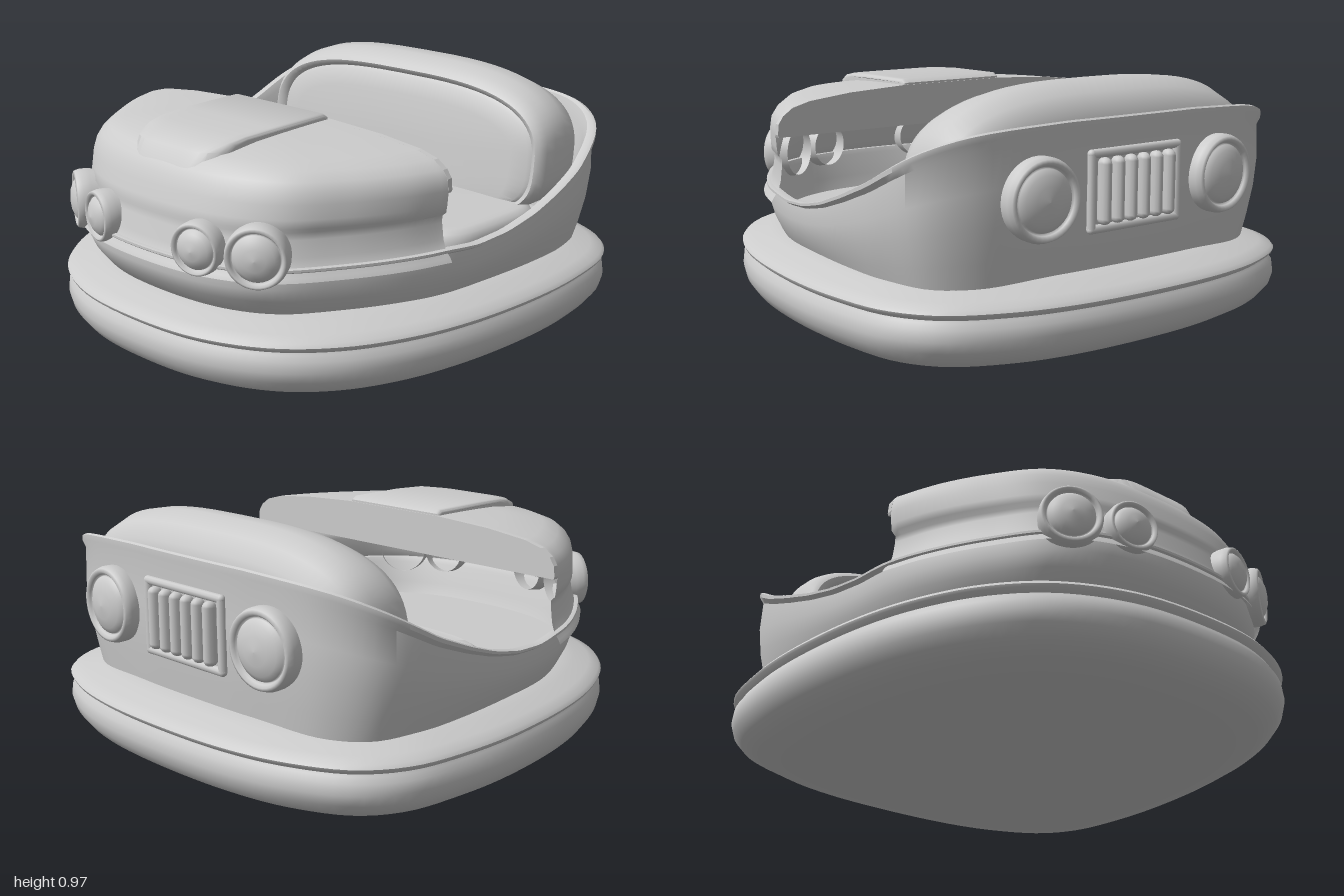
import * as THREE from 'three';
import { toCreasedNormals } from 'three/addons/utils/BufferGeometryUtils.js';

const material = new THREE.MeshStandardMaterial({ color: 0xcccccc, side: THREE.DoubleSide });

function add(parent, name, geometry) {
  const mesh = new THREE.Mesh(geometry, material);
  mesh.name = name;
  parent.add(mesh);
  return mesh;
}

// Skin a list of equally long rings of [x, y, z] points
function loft(rings, closed = true, crease = 0.7) {
  const n = rings[0].length, index = [];
  for (let j = 0; j < rings.length - 1; j++) {
    for (let i = 0; i < (closed ? n : n - 1); i++) {
      const k = (i + 1) % n, a = j * n + i, b = j * n + k;
      index.push(a, b, b + n, a, b + n, a + n);
    }
  }
  const g = new THREE.BufferGeometry();
  g.setAttribute('position', new THREE.Float32BufferAttribute(rings.flat(2), 3));
  g.setIndex(index);
  return toCreasedNormals(g, crease);
}

// Smooth plan outline mirrored from its +x half, which runs front to back
function mirroredOutline(half, count) {
  const left = half.slice(1, -1).reverse().map(([x, z]) => [-x, z]);
  const pts = [...half, ...left].map(([x, z]) => new THREE.Vector3(x, 0, z));
  return new THREE.CatmullRomCurve3(pts, true).getSpacedPoints(count).slice(0, -1);
}

// Piecewise linear lookup in [[key, value], ...] with rising keys
function lookup(table, k) {
  if (k <= table[0][0]) return table[0][1];
  for (let i = 1; i < table.length; i++) {
    const [k0, v0] = table[i - 1], [k1, v1] = table[i];
    if (k <= k1) return v0 + (v1 - v0) * (k - k0) / (k1 - k0);
  }
  return table[table.length - 1][1];
}

function superellipse(w, d, power, count = 72) {
  const f = v => Math.sign(v) * Math.abs(v) ** (2 / power);
  return Array.from({ length: count }, (_, i) => {
    const a = i / count * Math.PI * 2;
    return [w * f(Math.cos(a)), d * f(Math.sin(a))];
  });
}

// Round lamp with a raised rim and a shallow domed lens
function lamp(parent, name, r, x, y, z, yaw) {
  const profile = [[.9, -.09], [1, -.03], [1, 0], [.95, .02], [.87, .025], [.8, .015], [.77, 0],
    [.74, .012], [.6, .025], [.35, .037], [0, .042]].map(([s, h]) => new THREE.Vector2(s * r, h));
  const g = new THREE.LatheGeometry(profile, 40);
  g.rotateX(Math.PI / 2);
  const mesh = add(parent, name, g);
  mesh.position.set(x, y, z);
  mesh.rotation.y = yaw;
}

export function createModel() {
  const car = new THREE.Group();
  car.name = 'bumperCar';

  // Rubber bumper with a dished underside and a thin overhanging upper lip
  const bumperPlan = mirroredOutline([[0, .99], [.3, .96], [.55, .85], [.72, .68], [.84, .45], [.91, .2],
    [.95, -.15], [.945, -.4], [.9, -.65], [.79, -.81], [.58, -.92], [.35, -.975], [0, -.995]], 128);
  const bumperRows = [[0, 0], [.5, .015], [.8, .04], [.9, .065], [.96, .1], [.99, .14], [1, .18], [.995, .22],
    [.982, .24], [.978, .248], [.996, .262], [1, .272], [.99, .285], [.95, .3], [.89, .32], [.84, .333], [.78, .335]];
  add(car, 'bumper', loft(bumperRows.map(([s, y]) => bumperPlan.map(p => [p.x * s, y, p.z * s]))));

  // Body tub: outer wall, rolled rim rising to the rear, inner wall and floor
  const front = [[0, .94], [.3, .905], [.5, .8], [.65, .6], [.755, .4], [.81, .24]];
  const tubPlan = mirroredOutline([...front, [.845, 0], [.87, -.3], [.86, -.53], [.8, -.71],
    [.66, -.81], [.35, -.855], [0, -.865]], 160);
  const rim = [[-.86, .86], [-.8, .83], [-.7, .775], [-.5, .665], [-.35, .605], [-.2, .555], [-.05, .522], [.1, .51], [.24, .52]];
  // Columns: width scale, front scale, rear scale, share of the rim height
  const tubRows = [[.92, .87, .95], [.95, .915, .965, .2], [.975, .955, .98, .42], [.99, .98, .985, .65],
    [.985, .975, .98, .9], [1.005, .99, .985, .95], [1.005, .99, .985, .99], [.99, .98, .975, 1],
    [.965, .96, .965, .99], [.95, .95, .95, .9], [.93, .93, .93, .5]];
  const tubRings = tubRows.map(([sx, sf, sr, f = 0]) => tubPlan.map(p =>
    [p.x * sx, .3 + f * (lookup(rim, p.z) - .3), p.z * (p.z > 0 ? sf : sr)]));
  for (const s of [.91, 0]) tubRings.push(tubPlan.map(p => [p.x * s, .36, p.z * s]));
  add(car, 'bodyTub', loft(tubRings));

  // Hood: flange, recessed band, then an overhanging domed cover
  const z0 = .24;
  const arc = [...front.slice(1).reverse().map(([x, z]) => [-x, z]), ...front];
  const hoodPlan = new THREE.CatmullRomCurve3(arc.map(([x, z]) => new THREE.Vector3(x, 0, z))).getSpacedPoints(80);
  const hoodRows = [[1.02, 1, .475], [1.01, .99, .49], [.985, .965, .515], [.97, .95, .55], [.96, .93, .61],
    [.96, .92, .635], [.98, .925, .65], [.985, .91, .68], [.99, .89, .73], [.985, .865, .77], [.96, .84, .8],
    [.91, .8, .828], [.82, .74, .848], [.6, .55, .868], [.3, .3, .88], [0, 0, .883]];
  add(car, 'hood', loft(hoodRows.map(([sx, sz, y]) =>
    hoodPlan.map(p => [p.x * sx, y, z0 + (p.z - z0) * sz])), false, .8));

  // Cowl panel hanging below the rear edge of the hood
  const cowlHalf = hoodRows.slice(7, -1).map(([sx, , y]) => [sx * .81, Math.max(y, .72)]);
  const cowl = new THREE.Shape([...cowlHalf, ...cowlHalf.slice().reverse().map(([x, y]) => [-x, y])]
    .map(([x, y]) => new THREE.Vector2(x, y)));
  add(car, 'cowl', new THREE.ExtrudeGeometry(cowl, { depth: .022, bevelEnabled: false })).position.z = .22;

  // Raised centre panel on the hood, rounded off at its front corners
  const side = new THREE.Shape([[.238, .84], [.238, .88], [.25, .888], [.5, .886], [.65, .88], [.73, .868],
    [.785, .845], [.81, .8], [.78, .77]].map(([z, y]) => new THREE.Vector2(-z, y)));
  const scoop = new THREE.ExtrudeGeometry(side, { depth: .44, steps: 16, bevelSize: .014, bevelThickness: .018, bevelSegments: 4 });
  scoop.translate(0, 0, -.22);
  scoop.rotateY(Math.PI / 2);
  const sp = scoop.attributes.position;
  for (let i = 0; i < sp.count; i++) {
    const x = sp.getX(i), z = sp.getZ(i), t = Math.max(0, (z - .5) / .32);
    sp.setX(i, x * (1 - .08 * t));
    sp.setZ(i, z - .09 * t * t * Math.min(1, Math.abs(x) / .238) ** 6);
  }
  add(car, 'hoodPanel', toCreasedNormals(scoop, .7));

  // Seat cushion, slightly narrower at the front
  const cushionRows = [[.98, .34], [1, .4], [1, .44], [.98, .465], [.94, .478], [.88, .475], [.6, .485], [0, .48]];
  const cushionPlan = superellipse(.7, .325, 5);
  add(car, 'seatCushion', loft(cushionRows.map(([s, y]) => cushionPlan.map(([x, d]) =>
    [x * s * (1 + .08 * d), y, -.24 - d * s]))));

  // Seat back: reclined padded arch with a recessed front panel, rows run back to front
  const backRows = [[-.8, .72, .5], [-.8, .8, .62], [-.785, .87, .68], [-.73, .93, .71], [-.65, .968, .72],
    [-.58, .965, .72], [-.53, .95, .715], [-.495, .932, .705], [-.482, .915, .69], [-.49, .9, .672],
    [-.51, .89, .66], [-.5, .875, .645], [-.49, .81, .57], [-.485, .68, .2]];
  const backRings = backRows.map(([z, top, w]) => superellipse(w, 1, 3).map(([x, v]) => {
    const mid = .62, y = mid + (v > 0 ? top - mid : mid - .38) * v;
    return [x, y, z + .12 * Math.max(0, .9 - y)];
  }));
  backRings.unshift(backRings[0].map(() => [0, .6, -.77]));
  backRings.push(backRings[0].map(() => [0, .65, -.455]));
  add(car, 'seatBack', loft(backRings));

  // Paired headlamps and tail lamps
  for (const s of [1, -1]) {
    lamp(car, 'outerHeadlamp', .112, s * .465, .565, .83, s * .55);
    lamp(car, 'innerHeadlamp', .096, s * .255, .565, .905, s * .25);
    lamp(car, 'tailLamp', .145, s * .42, .61, -.868, Math.PI - s * .06);
  }

  // Rear grille: frame with vertical bars
  const grille = new THREE.Group();
  grille.name = 'rearGrille';
  grille.position.set(0, .61, -.855);
  car.add(grille);
  for (const s of [1, -1]) {
    add(grille, 'grilleRail', new THREE.CapsuleGeometry(.016, .4, 4, 10).rotateZ(Math.PI / 2)).position.y = s * .13;
    add(grille, 'grillePost', new THREE.CapsuleGeometry(.016, .26, 4, 10)).position.x = s * .2;
  }
  for (let i = 0; i < 6; i++) {
    const bar = add(grille, 'grilleBar', new THREE.CapsuleGeometry(.022, .19, 4, 12));
    bar.position.set(-.15 + i * .06, 0, -.01);
    bar.scale.z = 1.3;
  }
  return car;
}
